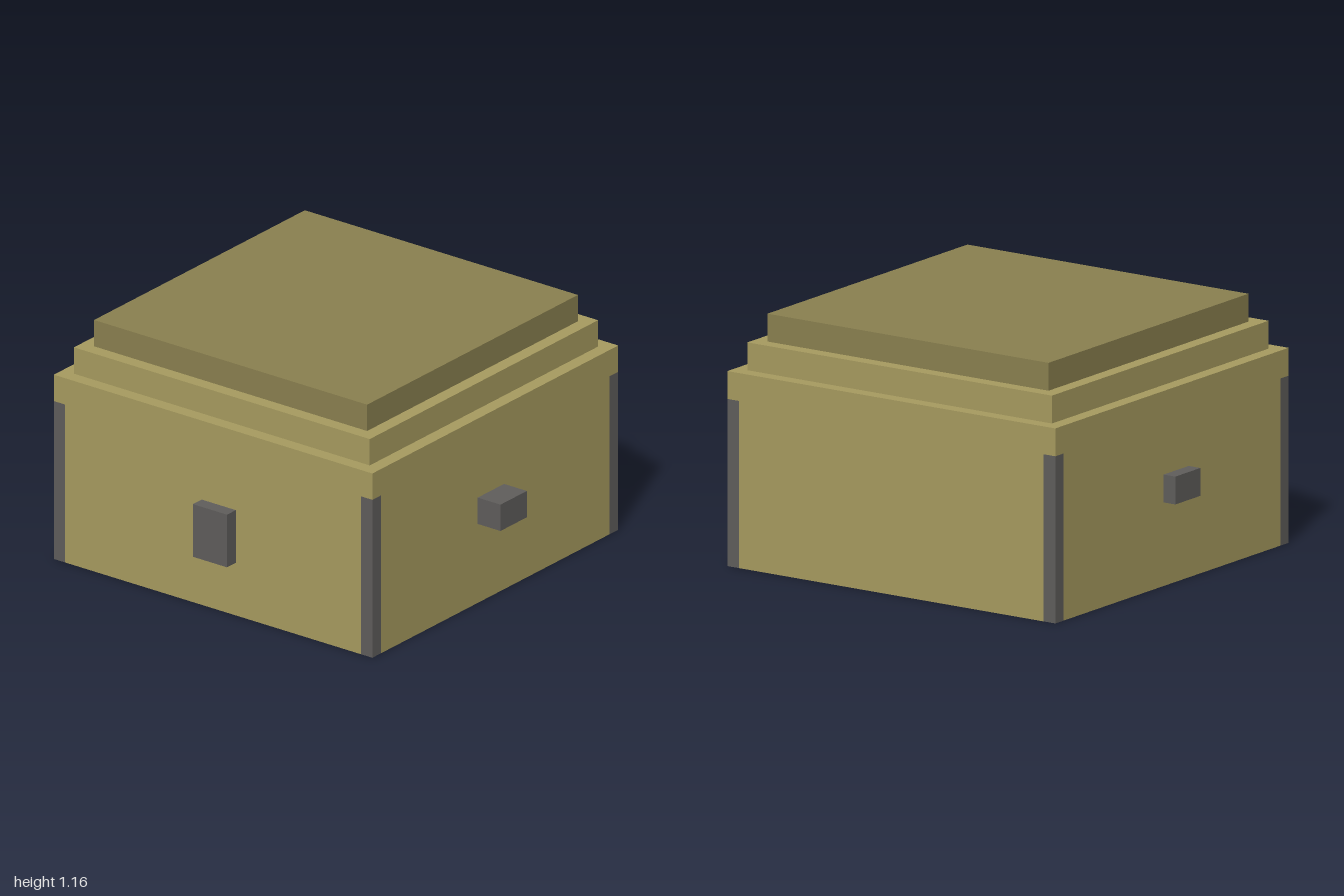
import * as THREE from 'three';

const U = 2 / 31; // one block unit

const tan = new THREE.MeshStandardMaterial({ color: 0xa89c60 });
const darkTan = new THREE.MeshStandardMaterial({ color: 0x8b8150 });
const iron = new THREE.MeshStandardMaterial({ color: 0x605e5c });

// Box given by its lower and upper corners, in block units
function block(name, material, min, max) {
  const size = max.map((v, i) => (v - min[i]) * U);
  const mesh = new THREE.Mesh(new THREE.BoxGeometry(...size), material);
  mesh.position.set(...max.map((v, i) => ((v + min[i]) / 2) * U));
  mesh.name = name;
  return mesh;
}

export function createModel() {
  const model = new THREE.Group();
  model.name = 'chest';
  const lo = -14.5, hi = 13.5; // body extent in x and z

  // Lower body: square plan with a one-unit notch at each corner for the posts
  const plan = [
    [lo + 1, lo], [hi - 1, lo], [hi - 1, lo + 1], [hi, lo + 1],
    [hi, hi - 1], [hi - 1, hi - 1], [hi - 1, hi], [lo + 1, hi],
    [lo + 1, hi - 1], [lo, hi - 1], [lo, lo + 1], [lo + 1, lo + 1],
  ].map(([x, z]) => new THREE.Vector2(x * U, -z * U));
  const bodyGeometry = new THREE.ExtrudeGeometry(new THREE.Shape(plan), {
    depth: 12 * U, bevelEnabled: false,
  });
  bodyGeometry.rotateX(-Math.PI / 2);
  const body = new THREE.Mesh(bodyGeometry, tan);
  body.name = 'body';
  model.add(body);

  // Corner posts, flush with the walls
  for (const x of [lo, hi - 1]) {
    for (const z of [lo, hi - 1]) {
      model.add(block('cornerPost', iron, [x, 0, z], [x + 1, 12, z + 1]));
    }
  }

  // Stepped rim and lid
  model.add(
    block('rim', tan, [lo, 12, lo], [hi, 14, hi]),
    block('lidStep', tan, [lo + 1, 14, lo + 1], [hi - 1, 16, hi - 1]),
    block('lidTop', darkTan, [lo + 2, 16, lo + 2], [hi - 2, 18, hi - 2]),
  );

  // Latch and side handles
  model.add(
    block('latch', iron, [-1.5, 4, hi], [1.5, 8, hi + 1]),
    block('leftHandle', iron, [hi, 6, -1.5], [hi + 2, 8, 1.5]),
    block('rightHandle', iron, [lo - 1, 6, -1.5], [lo, 8, 1.5]),
  );

  return model;
}
